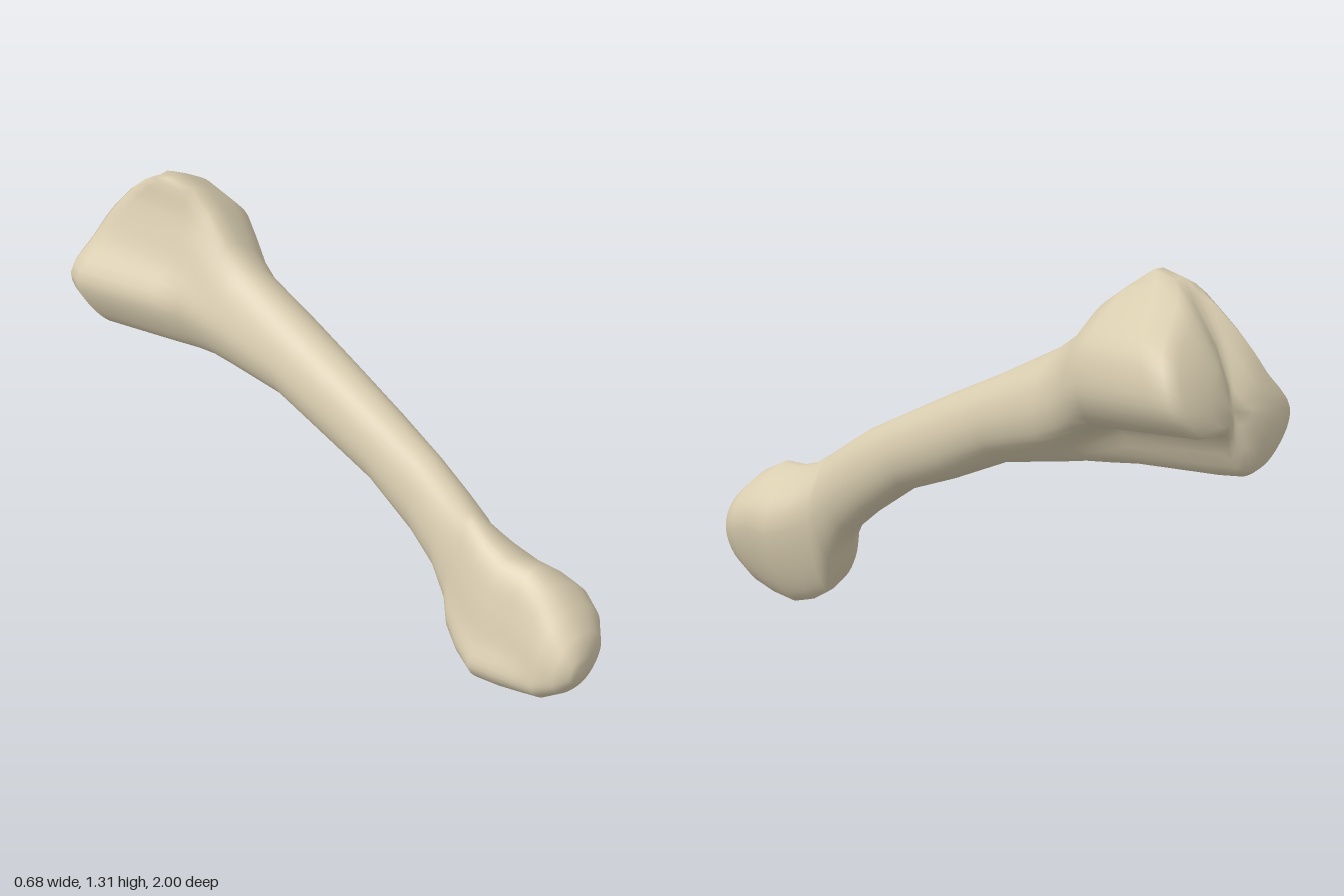
import * as THREE from 'three';

const SIDES = 48;

// Twelve-point outlines, counter-clockwise from the right-hand side
const toPoints = (flat) => flat.map(([x, y]) => new THREE.Vector2(x, y));
const shaftOutline = Array.from({ length: 12 }, (_, i) =>
  new THREE.Vector2(Math.cos(i * Math.PI / 6), Math.sin(i * Math.PI / 6)));
const lowerOutline = toPoints([
  [0.335, 0.28], [0.32, 0.36], [0.25, 0.44], [0.13, 0.495], [0.07, 0.45], [0.03, 0.35],
  [0, 0.24], [-0.035, 0.15], [0.01, 0.08], [0.1, 0.035], [0.2, 0], [0.28, 0.1]]);
const upperOutline = toPoints([
  [0.21, 1], [0.19, 1.13], [0.07, 1.23], [-0.11, 1.31], [-0.165, 1.2], [-0.24, 1.05],
  [-0.34, 0.92], [-0.29, 0.79], [-0.225, 0.73], [-0.13, 0.74], [-0.04, 0.88], [0.14, 0.91]]);

// Stations: z, x min, x max, y min, y max, blend from round to knobbed outline
const lowerStations = [
  [1, 0.09, 0.17, 0.2, 0.29, 0],
  [0.97, 0.05, 0.26, 0.14, 0.355, 0.2],
  [0.91, 0.025, 0.32, 0.075, 0.405, 0.5],
  [0.85, 0.01, 0.335, 0.04, 0.455, 0.8],
  [0.78, -0.01, 0.32, 0.01, 0.49, 1],
  [0.7, -0.03, 0.31, 0, 0.49, 1],
  [0.62, -0.01, 0.28, 0.025, 0.515, 0.9],
  [0.55, 0.015, 0.235, 0.07, 0.56, 0.7],
  [0.53, 0.018, 0.225, 0.19, 0.57, 0.4],
  [0.46, 0.02, 0.21, 0.3, 0.615, 0.1],
  [0.35, 0.015, 0.195, 0.39, 0.685, 0],
  [0.18, -0.01, 0.18, 0.51, 0.77, 0]];
const upperStations = [
  [0, -0.04, 0.165, 0.58, 0.86, 0],
  [-0.2, -0.08, 0.15, 0.67, 0.955, 0.1],
  [-0.4, -0.13, 0.13, 0.705, 1.06, 0.25],
  [-0.48, -0.155, 0.14, 0.72, 1.12, 0.4],
  [-0.55, -0.185, 0.16, 0.725, 1.21, 0.6],
  [-0.63, -0.23, 0.19, 0.73, 1.27, 0.85]];
const rimBox = [-0.34, 0.208, 0.73, 1.31];

// Joint face: scale of the rim outline, and distance in front of the face
const faceSteps = [[1, 0.09], [0.95, 0.03], [0.84, 0.005], [0.5, 0], [0.2, 0]];
const faceCentre = [-0.09, 0.95];

// Scale an outline to fill a box
function fit(points, x0, x1, y0, y1) {
  const box = new THREE.Box2().setFromPoints(points);
  const size = box.getSize(new THREE.Vector2());
  return points.map((p) => new THREE.Vector2(
    x0 + (x1 - x0) * (p.x - box.min.x) / size.x,
    y0 + (y1 - y0) * (p.y - box.min.y) / size.y));
}

// One smooth ring of the bone
function ring([z, x0, x1, y0, y1, blend], outline) {
  const round = fit(shaftOutline, -1, 1, -1, 1);
  const knob = fit(outline, -1, 1, -1, 1);
  const mixed = round.map((p, i) => p.clone().lerp(knob[i], blend));
  const curve = new THREE.CatmullRomCurve3(
    mixed.map((p) => new THREE.Vector3(p.x, p.y, 0)), true, 'centripetal');
  const smooth = Array.from({ length: SIDES }, (_, i) => curve.getPoint(i / SIDES));
  return fit(smooth, x0, x1, y0, y1).map((p) => [p.x, p.y, z]);
}

// Curved, backward-leaning joint face with an upright groove between its lobes
function faceDepth(x, y) {
  const groove = 0.045 * Math.exp(-(((x + 0.09) / 0.05) ** 2));
  return -1 + 1.2 * (y - 0.9) ** 2 + groove;
}

function faceRings() {
  const rim = ring([0, ...rimBox, 1], upperOutline);
  const [cx, cy] = faceCentre;
  return faceSteps.map(([scale, inset]) => rim.map(([px, py]) => {
    const x = cx + (px - cx) * scale;
    const y = cy + (py - cy) * scale;
    return [x, y, faceDepth(x, y) + inset];
  }));
}

// Skin the rings and close both ends
function loft(rings, frontTip, backTip) {
  const positions = [...rings.flat(2), ...frontTip, ...backTip];
  const front = rings.length * SIDES;
  const back = front + 1;
  const index = [];
  for (let i = 0; i < SIDES; i++) {
    const j = (i + 1) % SIDES;
    for (let s = 0; s < rings.length - 1; s++) {
      const a = s * SIDES + i, b = s * SIDES + j;
      index.push(a, a + SIDES, b, b, a + SIDES, b + SIDES);
    }
    const last = (rings.length - 1) * SIDES;
    index.push(front, i, j, back, last + j, last + i);
  }
  const geometry = new THREE.BufferGeometry();
  geometry.setAttribute('position', new THREE.Float32BufferAttribute(positions, 3));
  geometry.setIndex(index);
  geometry.computeVertexNormals();
  return geometry;
}

export function createModel() {
  const model = new THREE.Group();
  model.name = 'bone';
  const ivory = new THREE.MeshStandardMaterial({ color: 0xd9cdb0 });
  ivory.name = 'ivory';

  // Rounded lower knuckle, slim shaft and two-lobed upper head in one skin
  const rings = [
    ...lowerStations.map((s) => ring(s, lowerOutline)),
    ...upperStations.map((s) => ring(s, upperOutline)),
    ...faceRings()];
  const backTip = [...faceCentre, faceDepth(...faceCentre)];
  const bone = new THREE.Mesh(loft(rings, [0.13, 0.25, 1], backTip), ivory);
  bone.name = 'boneShaftAndEnds';
  model.add(bone);
  return model;
}
